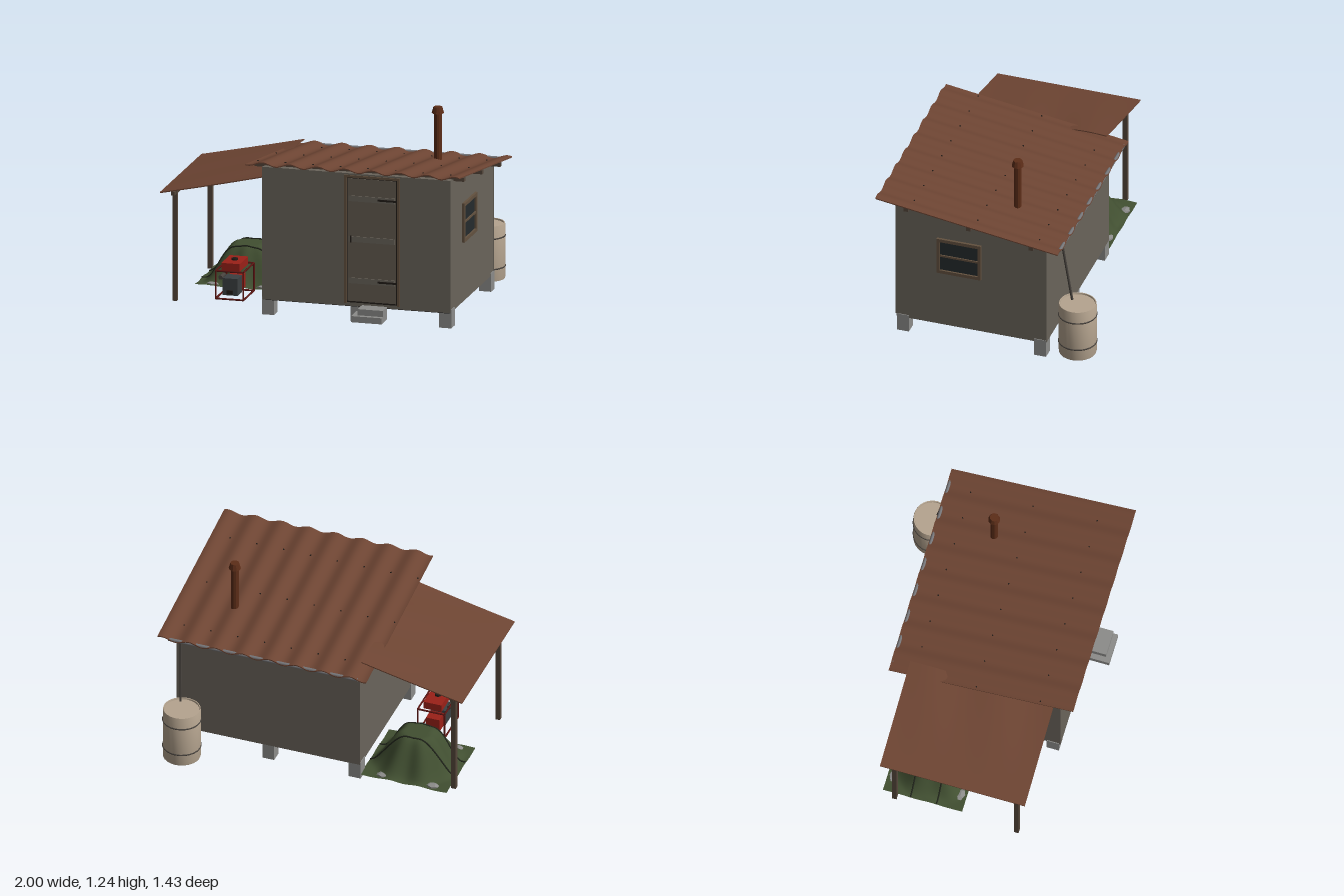
import * as THREE from 'three';
import { toCreasedNormals } from 'three/addons/utils/BufferGeometryUtils.js';

const mat = (color, extra = {}) => new THREE.MeshStandardMaterial({ color, ...extra });
const M = {
  wall: mat(0x6a645b), trim: mat(0x63513f), door: mat(0x645c51), dark: mat(0x221c18),
  floor: mat(0x252525), concrete: mat(0x8c8c8a), roof: mat(0x6e4533, { side: THREE.DoubleSide }),
  wood: mat(0x54463a), glass: mat(0x252b2d), rust: mat(0x5c2d18), barrel: mat(0xb5a48f),
  metal: mat(0x77777a), iron: mat(0x48433e), red: mat(0x9a2018), frame: mat(0x5a1512),
  engine: mat(0x3c4042), tarp: mat(0x414f31, { side: THREE.DoubleSide }), strap: mat(0x22261c),
};

const smooth = THREE.MathUtils.smoothstep;
const ROOF_SLOPE = 0.1455, WAVE = 0.18;
const roofY = z => 0.908 + ROOF_SLOPE * z;
const awningY = (x, z) => 0.735 + (x + 1) * 0.224 + 0.008 * Math.sin(z * 14 + x * 3) * (x + 1);

// Height of the draped cover over its footprint
const TARP = { x: -0.61, z: -0.15, hx: 0.29, hz: 0.26 };
function tarpY(x, z) {
  const u = Math.abs(x - TARP.x) / TARP.hx, v = Math.abs(z - TARP.z) / TARP.hz;
  const r = Math.cbrt(u ** 3 + v ** 3);
  const a = Math.atan2(z - TARP.z, x - TARP.x);
  const bulk = 1 - smooth(r + 0.05 * r * Math.sin(a * 7), 0.28, 0.97);
  return 0.025 + 0.235 * bulk + 0.004 * (1 + Math.sin(a * 9)) * smooth(r, 0.5, 0.9);
}

export function createModel() {
  const root = new THREE.Group();

  const group = (name, parent = root) => {
    const g = new THREE.Group();
    g.name = name;
    parent.add(g);
    return g;
  };
  const add = (name, geo, material, parent = root) => {
    const m = new THREE.Mesh(geo, material);
    m.name = name;
    parent.add(m);
    return m;
  };
  // Box from its minimum and maximum on each axis
  const box = (name, x0, x1, y0, y1, z0, z1, material, parent) => {
    const m = add(name, new THREE.BoxGeometry(x1 - x0, y1 - y0, z1 - z0), material, parent);
    m.position.set((x0 + x1) / 2, (y0 + y1) / 2, (z0 + z1) / 2);
    return m;
  };
  // Round bar between two points
  const rod = (name, a, b, r, material, parent, sides = 8) => {
    const p = new THREE.Vector3(...a), q = new THREE.Vector3(...b);
    const m = add(name, new THREE.CylinderGeometry(r, r, p.distanceTo(q), sides), material, parent);
    m.position.copy(p).add(q).multiplyScalar(0.5);
    m.quaternion.setFromUnitVectors(new THREE.Vector3(0, 1, 0), q.sub(p).normalize());
    return m;
  };
  // Thin sheet whose height follows a rule
  const sheet = (name, x0, x1, z0, z1, nx, nz, t, rule) => {
    const geo = new THREE.BoxGeometry(x1 - x0, t, z1 - z0, nx, 1, nz);
    geo.translate((x0 + x1) / 2, 0, (z0 + z1) / 2);
    const p = geo.attributes.position;
    for (let i = 0; i < p.count; i++) p.setY(i, p.getY(i) + rule(p.getX(i), p.getZ(i)));
    geo.computeVertexNormals();
    return add(name, geo, M.roof);
  };

  // Hut body with sloping top
  const side = new THREE.Shape([[-0.58, 0.1], [0.41, 0.1], [0.41, 0.825], [-0.58, 0.965]]
    .map(([x, y]) => new THREE.Vector2(x, y)));
  const body = add('walls', new THREE.ExtrudeGeometry(side, { depth: 1.23, bevelEnabled: false }), M.wall);
  body.rotation.y = Math.PI / 2;
  body.position.x = -0.32;
  box('frontWallPanel', -0.322, 0.912, 0.12, 0.965, 0.57, 0.586, M.wall);
  box('backWallPanel', -0.322, 0.912, 0.105, 0.823, -0.416, -0.4, M.wall);
  box('floor', -0.315, 0.905, 0.096, 0.105, -0.405, 0.575, M.floor);

  // Foundation blocks
  const blocks = group('foundationBlocks');
  for (const x of [-0.285, 0.295, 0.875])
    for (const z of [0.535, -0.375])
      box('foundationBlock', x - 0.04, x + 0.04, 0, 0.12, z - 0.04, z + 0.04, M.concrete, blocks);

  // Entrance steps
  const steps = group('steps');
  box('lowerStep', 0.3, 0.5, 0.033, 0.073, 0.59, 0.72, M.concrete, steps);
  box('upperStep', 0.335, 0.5, 0.073, 0.113, 0.59, 0.69, M.concrete, steps);

  // Door with frame, battens, hinges and handle
  const door = group('door');
  box('doorGap', 0.23, 0.57, 0.125, 0.945, 0.58, 0.588, M.dark, door);
  box('doorPanel', 0.242, 0.558, 0.135, 0.935, 0.58, 0.591, M.door, door);
  for (const x of [0.218, 0.564]) box('doorJamb', x, x + 0.018, 0.12, 0.95, 0.58, 0.594, M.trim, door);
  box('doorLintel', 0.218, 0.582, 0.94, 0.955, 0.58, 0.594, M.trim, door);
  for (const y of [0.27, 0.54, 0.805]) {
    box('doorBatten', 0.25, 0.55, y - 0.018, y + 0.018, 0.585, 0.597, M.wall, door);
    if (y !== 0.54) box('hinge', 0.44, 0.56, y - 0.006, y + 0.006, 0.595, 0.602, M.dark, door);
  }
  rod('handle', [0.265, 0.52, 0.604], [0.265, 0.565, 0.604], 0.005, M.dark, door);

  // Side window
  const win = group('window');
  box('windowGlass', 0.905, 0.914, 0.505, 0.73, 0.03, 0.3, M.glass, win);
  for (const y of [0.49, 0.723]) box('windowRail', 0.905, 0.926, y, y + 0.022, 0.015, 0.31, M.trim, win);
  for (const z of [0.015, 0.288]) box('windowStile', 0.905, 0.926, 0.512, 0.723, z, z + 0.022, M.trim, win);
  box('windowBar', 0.905, 0.922, 0.611, 0.624, 0.037, 0.288, M.trim, win);

  // Corrugated roof, purlins and screws
  const corrugation = x => -0.011 * Math.cos((x - 0.34) * 2 * Math.PI / WAVE);
  sheet('roof', -0.4, 1, -0.52, 0.69, 112, 8, 0.007, (x, z) => roofY(z) + corrugation(x));
  const purlins = group('purlins'), screws = group('roofScrews');
  for (const z of [0.495, 0.08, -0.335])
    box('purlin', -0.39, 0.98, roofY(z) - 0.036, roofY(z) - 0.01, z - 0.015, z + 0.015, M.wood, purlins);
  for (const z of [0.47, 0.05, -0.36])
    for (let i = -4; i <= 3; i++) {
      const x = 0.34 + i * WAVE;
      const s = add('roofScrew', new THREE.CylinderGeometry(0.005, 0.005, 0.006, 6), M.dark, screws);
      s.position.set(x, roofY(z) + corrugation(x) + 0.005, z);
    }

  // Lean-to awning on two posts
  sheet('awning', -1, -0.325, -0.4, 0.55, 16, 36, 0.007, awningY);
  const posts = group('awningPosts');
  for (const z of [0.475, -0.325])
    box('awningPost', -0.935, -0.905, 0.02, 0.745, z - 0.015, z + 0.015, M.wood, posts);
  box('awningBeam', -0.932, -0.908, 0.718, 0.742, -0.38, 0.53, M.wood, posts);

  // Stove pipe with flared cap
  const chimney = group('chimney');
  chimney.position.set(0.625, 0, -0.13);
  const pipe = new THREE.CylinderGeometry(0.025, 0.025, 0.37, 10);
  add('chimneyPipe', toCreasedNormals(pipe, 0.3), M.rust, chimney).position.y = 1.025;
  const cap = new THREE.CylinderGeometry(0.028, 0.039, 0.04, 10);
  add('chimneyCap', toCreasedNormals(cap, 0.3), M.rust, chimney).position.y = 1.22;

  // Gutter and downpipe leading to the water barrel
  rod('gutter', [-0.34, 0.827, -0.508], [0.93, 0.827, -0.508], 0.011, M.metal);
  rod('downpipe', [0.85, 0.83, -0.5], [0.83, 0.41, -0.56], 0.008, M.iron);
  const barrel = group('waterBarrel');
  barrel.position.set(0.81, 0, -0.59);
  const profile = [[0, 0.02], [0.118, 0.02], [0.12, 0.028], [0.12, 0.374], [0.118, 0.38],
    [0.112, 0.38], [0.11, 0.37], [0, 0.37]].map(([x, y]) => new THREE.Vector2(x, y));
  add('barrelBody', toCreasedNormals(new THREE.LatheGeometry(profile, 24), 0.6), M.barrel, barrel);
  for (const y of [0.1, 0.298]) {
    const hoop = add('barrelHoop', new THREE.TorusGeometry(0.12, 0.005, 6, 24), M.iron, barrel);
    hoop.rotation.x = Math.PI / 2;
    hoop.position.y = y;
  }

  // Covered heap with straps and weights
  const heap = group('coveredHeap');
  const cloth = new THREE.PlaneGeometry(TARP.hx * 2, TARP.hz * 2, 36, 32);
  cloth.rotateX(-Math.PI / 2).translate(TARP.x, 0, TARP.z);
  const p = cloth.attributes.position;
  for (let i = 0; i < p.count; i++) p.setY(i, tarpY(p.getX(i), p.getZ(i)));
  cloth.computeVertexNormals();
  add('tarp', cloth, M.tarp, heap);
  for (const dz of [-0.08, 0.09]) {
    const pts = [];
    for (let i = 0; i <= 20; i++) {
      const x = TARP.x + TARP.hx * (i / 10 - 1), z = TARP.z + dz;
      pts.push(new THREE.Vector3(x, tarpY(x, z) + 0.003, z));
    }
    add('strap', new THREE.TubeGeometry(new THREE.CatmullRomCurve3(pts), 50, 0.005, 5), M.strap, heap);
  }
  for (const x of [-0.79, -0.46])
    for (const z of [0.07, -0.37])
      add('weightStone', new THREE.DodecahedronGeometry(0.04), M.concrete, heap)
        .translateX(x).translateY(0.032).translateZ(z).scale.set(1.1, 0.32, 0.75);

  // Portable generator in a tube frame
  const gen = group('generator');
  const X = [-0.68, -0.5], Y = [0.028, 0.208], Z = [0.145, 0.39];
  for (const a of [0, 1]) for (const b of [0, 1]) {
    rod('frameBar', [X[0], Y[a], Z[b]], [X[1], Y[a], Z[b]], 0.006, M.frame, gen);
    rod('framePost', [X[a], Y[0], Z[b]], [X[a], Y[1], Z[b]], 0.006, M.frame, gen);
    rod('frameRail', [X[a], Y[b], Z[0]], [X[a], Y[b], Z[1]], 0.006, M.frame, gen);
  }
  box('fuelTank', -0.65, -0.53, 0.205, 0.255, 0.17, 0.365, M.red, gen);
  rod('fuelCap', [-0.59, 0.255, 0.27], [-0.59, 0.267, 0.27], 0.02, M.dark, gen, 12);
  box('engine', -0.645, -0.545, 0.045, 0.155, 0.255, 0.36, M.engine, gen);
  box('outletPanel', -0.615, -0.575, 0.055, 0.08, 0.36, 0.375, M.dark, gen);
  box('alternator', -0.64, -0.55, 0.055, 0.145, 0.16, 0.245, M.red, gen);
  rod('shaft', [-0.595, 0.1, 0.24], [-0.595, 0.1, 0.26], 0.03, M.metal, gen, 12);
  rod('exhaust', [-0.655, 0.16, 0.29], [-0.655, 0.16, 0.37], 0.014, M.iron, gen, 10);

  return root;
}
